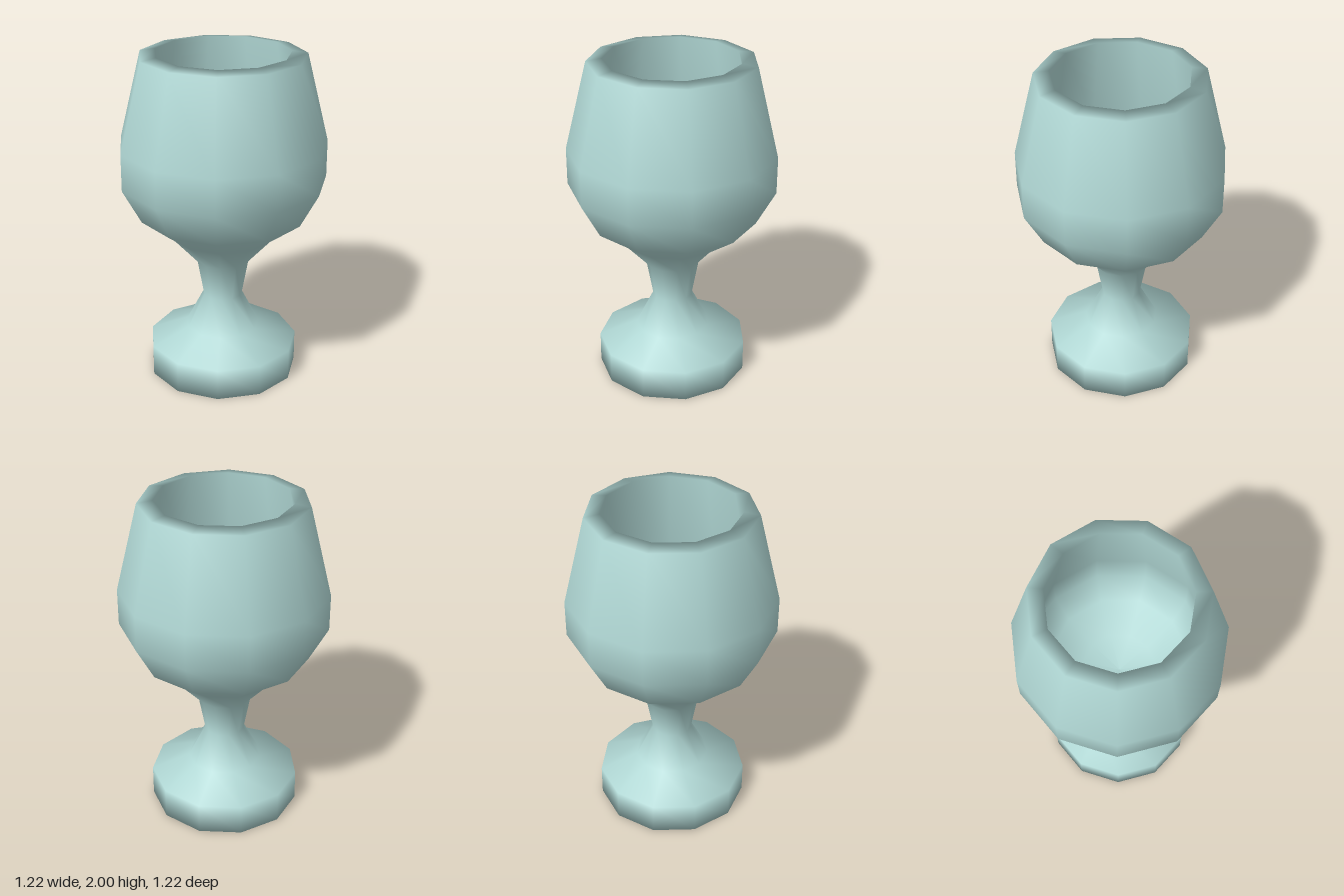
import * as THREE from 'three';

const SIDES = 11;
const TURN = 0.082; // rotation of the facets about the axis

// Radius and height, from the underside centre, up the outside, over the rim and down inside
const PROFILE = [
  [0, 0], [0.456, 0], [0.456, 0.19], [0.225, 0.285],
  [0.12, 0.49], [0.162, 0.72],
  [0.315, 0.89], [0.505, 1.03], [0.618, 1.24], [0.618, 1.46], [0.487, 1.985],
  [0.396, 2], [0.505, 1.46], [0.505, 1.26], [0.41, 1.1], [0.22, 1.0], [0, 0.97],
];

export function createModel() {
  const group = new THREE.Group();
  group.name = 'goblet';
  const glaze = new THREE.MeshStandardMaterial({ color: 0xb0d7d4 });
  glaze.name = 'pale teal';

  const points = PROFILE.map(([r, y]) => new THREE.Vector2(r, y));
  const whole = new THREE.LatheGeometry(points, SIDES, TURN);
  const bands = PROFILE.length - 1;

  // Takes a run of profile bands, keeping the smooth normals shared across the seams
  function addPart(name, from, to) {
    const source = whole.index.array;
    const index = [];
    for (let s = 0; s < SIDES; s++) {
      for (let b = from; b < to; b++) {
        const start = (s * bands + b) * 6;
        index.push(...source.slice(start, start + 6));
      }
    }
    const geometry = whole.clone();
    geometry.setIndex(index);
    const mesh = new THREE.Mesh(geometry, glaze);
    mesh.name = name;
    // centre the odd-sided outline
    mesh.position.set(0.007, 0, -0.0055);
    group.add(mesh);
  }

  addPart('foot', 0, 3);
  addPart('stem', 3, 5);
  addPart('bowl', 5, 10);
  addPart('rim', 10, 11);
  addPart('bowlInterior', 11, bands);
  return group;
}
